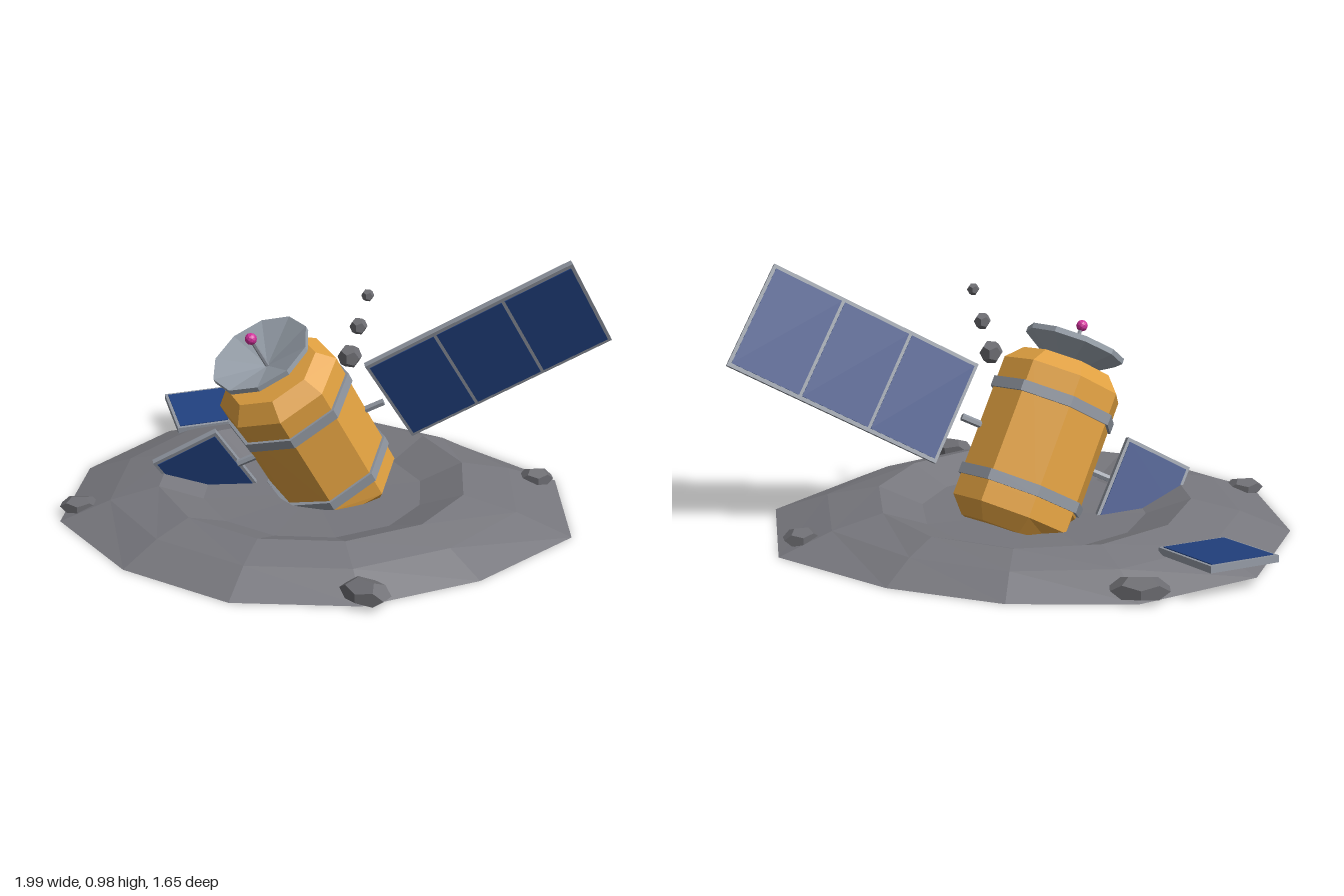
import * as THREE from 'three';

const mat = (color) => new THREE.MeshStandardMaterial({ color, flatShading: true });
const V = (x, y, z) => new THREE.Vector3(x, y, z);
const P = (x, y) => new THREE.Vector2(x, y);

const soil = mat(0x77777d), stone = mat(0x6c6c71), metal = mat(0x8f959f), foil = mat(0xe0a040);
const dishGrey = mat(0x98a1ab), blue = mat(0x21407f), pink = mat(0xd0309a);

function mesh(parent, name, geometry, material) {
  const m = new THREE.Mesh(geometry, material);
  m.name = name;
  parent.add(m);
  return m;
}

// Rod between two points
function rod(parent, name, a, b, r, material) {
  const m = mesh(parent, name, new THREE.CylinderGeometry(r, r, a.distanceTo(b), 6), material);
  m.position.copy(a).lerp(b, 0.5);
  m.quaternion.setFromUnitVectors(V(0, 1, 0), b.clone().sub(a).normalize());
  return m;
}

// Twelve-sided ground slab with a raised rim and a sunken floor
function crater() {
  const outer = [0.795, 0.82, 0.97, 0.99, 0.87, 0.85, 0.855, 0.87, 0.955, 0.95, 0.94, 0.86];
  const rings = [
    [() => 0, 0], [(r) => r, 0], [(r) => 0.58 + (r - 0.58) * 0.5, 0.07],
    [() => 0.585, 0.11], [() => 0.42, 0.045], [() => 0, 0.03],
  ];
  const n = outer.length, pos = [], index = [];
  rings.forEach(([radius, y], i) => {
    for (let k = 0; k < n; k++) {
      const t = (k / n) * Math.PI * 2, r = radius(outer[k]);
      pos.push(-0.05 + Math.sin(t) * r, y, -0.035 - Math.cos(t) * r);
      if (i === rings.length - 1) continue;
      const a = i * n + k, d = i * n + ((k + 1) % n), b = a + n, c = d + n;
      if (i > 0) index.push(a, c, d);
      if (i < rings.length - 2) index.push(a, b, c);
      else index.push(a, b, d);
    }
  });
  const g = new THREE.BufferGeometry();
  g.setAttribute('position', new THREE.Float32BufferAttribute(pos, 3));
  g.setIndex(index);
  g.computeVertexNormals();
  return g;
}

// Framed solar panel hanging down from its top edge; h0 and h1 are its end heights
function panel(name, corner, along, up, length, h0, h1, cells) {
  const g = new THREE.Group();
  g.name = name;
  const x = along.clone().normalize();
  const z = x.clone().cross(up).normalize();
  const y = z.clone().cross(x);
  g.applyMatrix4(new THREE.Matrix4().makeBasis(x, y, z).setPosition(corner));
  const slab = (x0, x1, inset, depth) => {
    const low = (s) => -(h0 + ((h1 - h0) * s) / length) + inset;
    const shape = new THREE.Shape([P(x0, -inset), P(x0, low(x0)), P(x1, low(x1)), P(x1, -inset)]);
    return new THREE.ExtrudeGeometry(shape, { depth, bevelEnabled: false }).translate(0, 0, -depth / 2);
  };
  mesh(g, 'panelFrame', slab(0, length, 0, 0.024), metal);
  const step = (length - 0.012) / cells;
  for (let i = 0; i < cells; i++) {
    const x0 = 0.006 + i * step;
    mesh(g, 'solarCell', slab(x0 + 0.006, x0 + step - 0.006, 0.014, 0.03), blue);
  }
  return g;
}

export function createModel() {
  const model = new THREE.Group();
  model.name = 'crashedSatellite';
  mesh(model, 'crater', crater(), soil);

  // Rocks around the rim: x, y, z, half sizes, turn
  [
    [-0.84, 0.035, 0.355, 0.075, 0.034, 0.055, 0.3],
    [0.38, 0.045, 0.68, 0.095, 0.044, 0.065, -0.3],
    [0.73, 0.045, -0.43, 0.068, 0.036, 0.052, 0.4],
    [-0.48, 0.045, -0.755, 0.105, 0.043, 0.065, 0.1],
  ].forEach(([x, y, z, a, b, c, turn]) => {
    const m = mesh(model, 'rock', new THREE.DodecahedronGeometry(1), stone);
    m.position.set(x, y, z);
    m.scale.set(a, b, c);
    m.rotation.y = turn;
  });

  // Tilted body, its buried end kept above the base of the ground
  const tilt = new THREE.Matrix4()
    .makeRotationFromEuler(new THREE.Euler(0.46, 0, 0.3))
    .setPosition(-0.064, 0.282, -0.027);
  const body = new THREE.Group();
  body.name = 'satelliteBody';
  model.add(body);
  const turned = (name, points, sides, material) => {
    const g = new THREE.LatheGeometry(points.map((p) => P(...p)), sides, Math.PI / sides);
    g.applyMatrix4(tilt);
    const p = g.attributes.position;
    for (let i = 0; i < p.count; i++) p.setY(i, Math.max(p.getY(i), 0.005));
    return mesh(body, name, g, material);
  };
  turned('hull', [[0, -0.33], [0.18, -0.33], [0.236, -0.27], [0.236, -0.2], [0.236, 0.27], [0.18, 0.33], [0, 0.33]], 8, foil);
  for (const y of [-0.17, 0.17]) {
    turned('band', [[0.22, y - 0.02], [0.247, y - 0.02], [0.247, y + 0.02], [0.22, y + 0.02]], 8, metal);
  }

  // Dish, feed rod and tip
  turned('dish', [[0, 0.325], [0.09, 0.335], [0.192, 0.4], [0.192, 0.42], [0, 0.355]], 10, dishGrey);
  const at = (y) => V(0, y, 0).applyMatrix4(tilt);
  rod(body, 'feedRod', at(0.35), at(0.49), 0.008, metal);
  mesh(body, 'feedTip', new THREE.IcosahedronGeometry(0.022, 1), pink).position.copy(at(0.49));

  // Snapped panel struts on both sides
  const hub = V(-0.06, 0.28, -0.027), reach = V(0.265, 0.132, -0.072);
  for (const s of [1, -1]) {
    const end = hub.clone().addScaledVector(reach, s);
    rod(body, 'brokenStrut', hub.clone().addScaledVector(reach, s * 0.55), end, 0.014, metal);
  }

  // Whole panel, half-buried piece, and a piece lying on the rim
  const along = V(0.843, 0.479, -0.243), up = V(-0.325, 0.81, 0.475);
  model.add(
    panel('raisedPanel', V(0.16, 0.585, 0), along, up, 0.824, 0.4, 0.4, 3),
    panel('buriedPanel', V(-0.39, 0.295, 0.1), along.clone().negate(), up, 0.275, 0.345, 0.175, 1),
    panel('loosePanel', V(-0.705, 0.122, -0.76), V(-0.22, -0.01, 0.15), V(-0.175, 0.04, -0.255), 0.27, 0.31, 0.31, 1),
  );

  // Rising smoke puffs
  [[0.115, 0.625, 0.044], [0.147, 0.742, 0.032], [0.18, 0.86, 0.023]].forEach(([x, y, r]) => {
    mesh(model, 'smokePuff', new THREE.DodecahedronGeometry(r), stone).position.set(x, y, 0.035);
  });
  return model;
}
